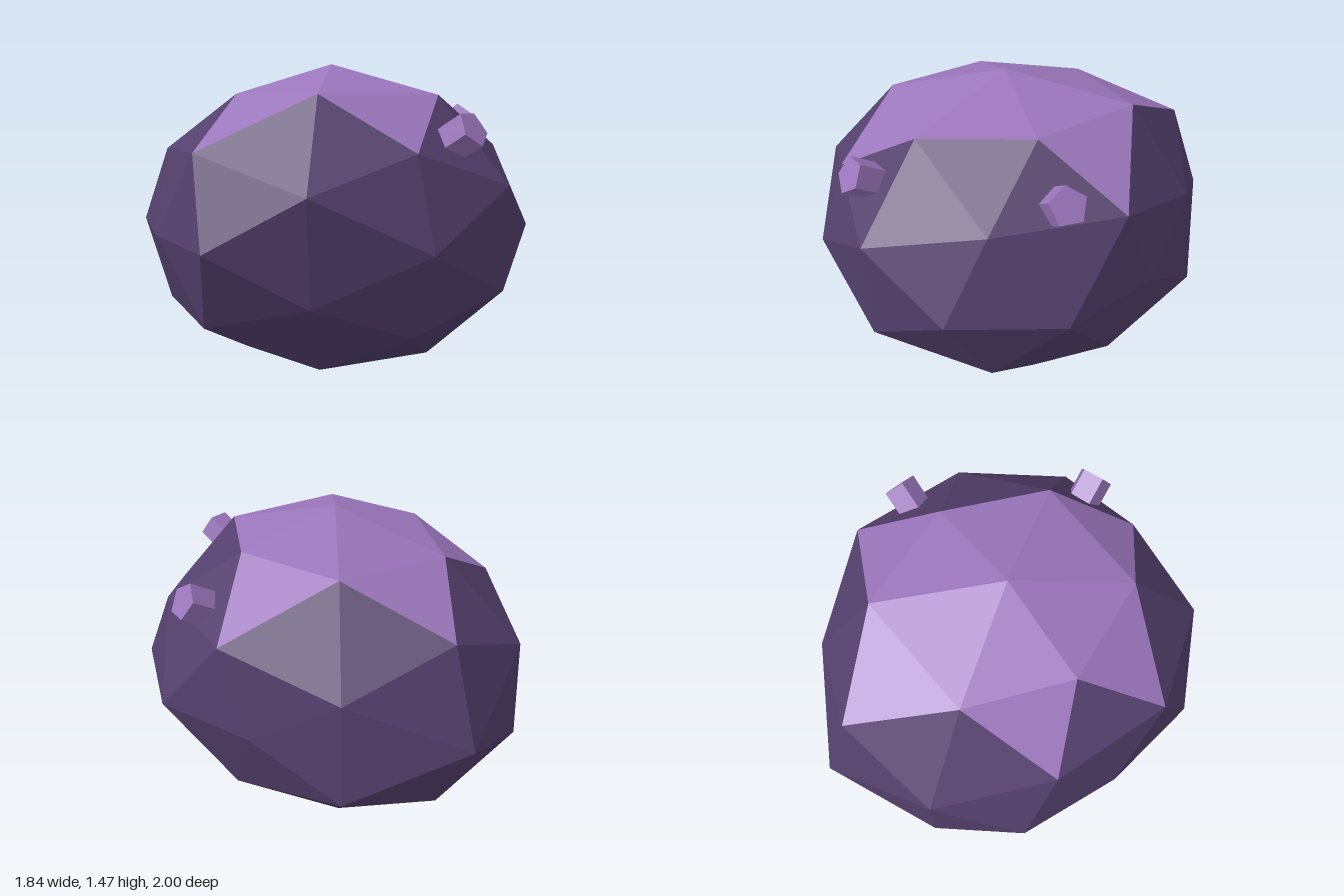
import * as THREE from 'three';

const CENTRE = new THREE.Vector3(-0.04, 0.695, 0.07);
const SQUASH = 0.8;

// Radii of the faceted stone per family of directions.
// Sign order of each list: x outermost, then y, then z, plus before minus.
const FAMILIES = [
  { dir: [1, 0, 0], radii: [0.957, 0.88] },
  { dir: [0, 1, 0], radii: [0.963, 0.869] },
  { dir: [0, 0, 1], radii: [0.93, 1.07] },
  { dir: [0.526, 0.851, 0], radii: [0.955, 0.932, 0.925, 0.863] },
  { dir: [0, 0.526, 0.851], radii: [0.93, 1.058, 0.91, 1.005] },
  { dir: [0.851, 0, 0.526], radii: [0.957, 0.884, 0.967, 0.96] },
  { dir: [0.809, 0.5, 0.309], radii: [0.943, 0.978, 0.922, 0.91, 0.97, 0.922, 0.93, 0.925] },
  { dir: [0.309, 0.809, 0.5], radii: [0.965, 1.02, 0.91, 0.95, 0.972, 0.94, 0.9, 0.99] },
  { dir: [0.5, 0.309, 0.809], radii: [0.957, 0.935, 0.945, 0.995, 0.982, 0.99, 0.885, 1.02] },
];

function radiusFor(v) {
  const p = v.toArray();
  const family = FAMILIES.find(({ dir }) => dir.every((d, i) => Math.abs(Math.abs(p[i]) - d) < 0.02));
  let index = 0;
  family.dir.forEach((d, i) => {
    if (d > 0) index = index * 2 + (p[i] < 0 ? 1 : 0);
  });
  return family.radii[index];
}

// Splits the stone into its pale top facets and its dark remaining facets
function stoneGeometries() {
  const source = new THREE.IcosahedronGeometry(1, 1).getAttribute('position');
  const pale = [];
  const dark = [];
  for (let i = 0; i < source.count; i += 3) {
    const corners = [0, 1, 2].map((k) => new THREE.Vector3().fromBufferAttribute(source, i + k));
    const mid = corners[0].clone().add(corners[1]).add(corners[2]).divideScalar(3);
    const isPale = mid.y > 0.68 && !(mid.x > 0.4 && mid.z > 0.1);
    for (const v of corners) {
      const p = v.clone().multiplyScalar(radiusFor(v));
      p.y *= SQUASH;
      p.add(CENTRE);
      (isPale ? pale : dark).push(p.x, p.y, p.z);
    }
  }
  return [pale, dark].map((list) => {
    const g = new THREE.BufferGeometry();
    g.setAttribute('position', new THREE.Float32BufferAttribute(list, 3));
    g.computeVertexNormals();
    return g;
  });
}

// Five-sided stub standing out from the stone along a direction
function stub(name, direction, pointsUp, material) {
  const length = 0.16;
  const n = new THREE.Vector3(...direction).normalize();
  const up = new THREE.Vector3(0, 1, 0).addScaledVector(n, -n.y).normalize();
  if (!pointsUp) up.negate();
  const side = new THREE.Vector3().crossVectors(n, up);
  const mesh = new THREE.Mesh(new THREE.CylinderGeometry(0.086, 0.086, length, 5), material);
  mesh.quaternion.setFromRotationMatrix(new THREE.Matrix4().makeBasis(side, n, up));
  mesh.position.copy(CENTRE).addScaledVector(n, 0.956 - length / 2);
  mesh.name = name;
  return mesh;
}

export function createModel() {
  const darkPurple = new THREE.MeshStandardMaterial({ color: 0x54406d, flatShading: true });
  darkPurple.name = 'dark purple';
  const palePurple = new THREE.MeshStandardMaterial({ color: 0x9b76bc, flatShading: true });
  palePurple.name = 'pale purple';

  const model = new THREE.Group();
  model.name = 'stone';

  const [pale, dark] = stoneGeometries();
  const cap = new THREE.Mesh(pale, palePurple);
  cap.name = 'topFacets';
  const body = new THREE.Mesh(dark, darkPurple);
  body.name = 'body';
  model.add(body, cap);

  model.add(stub('frontStub', [0.297, 0.51, 0.807], false, palePurple));
  model.add(stub('sideStub', [0.85, 0.525, -0.03], true, palePurple));
  return model;
}
